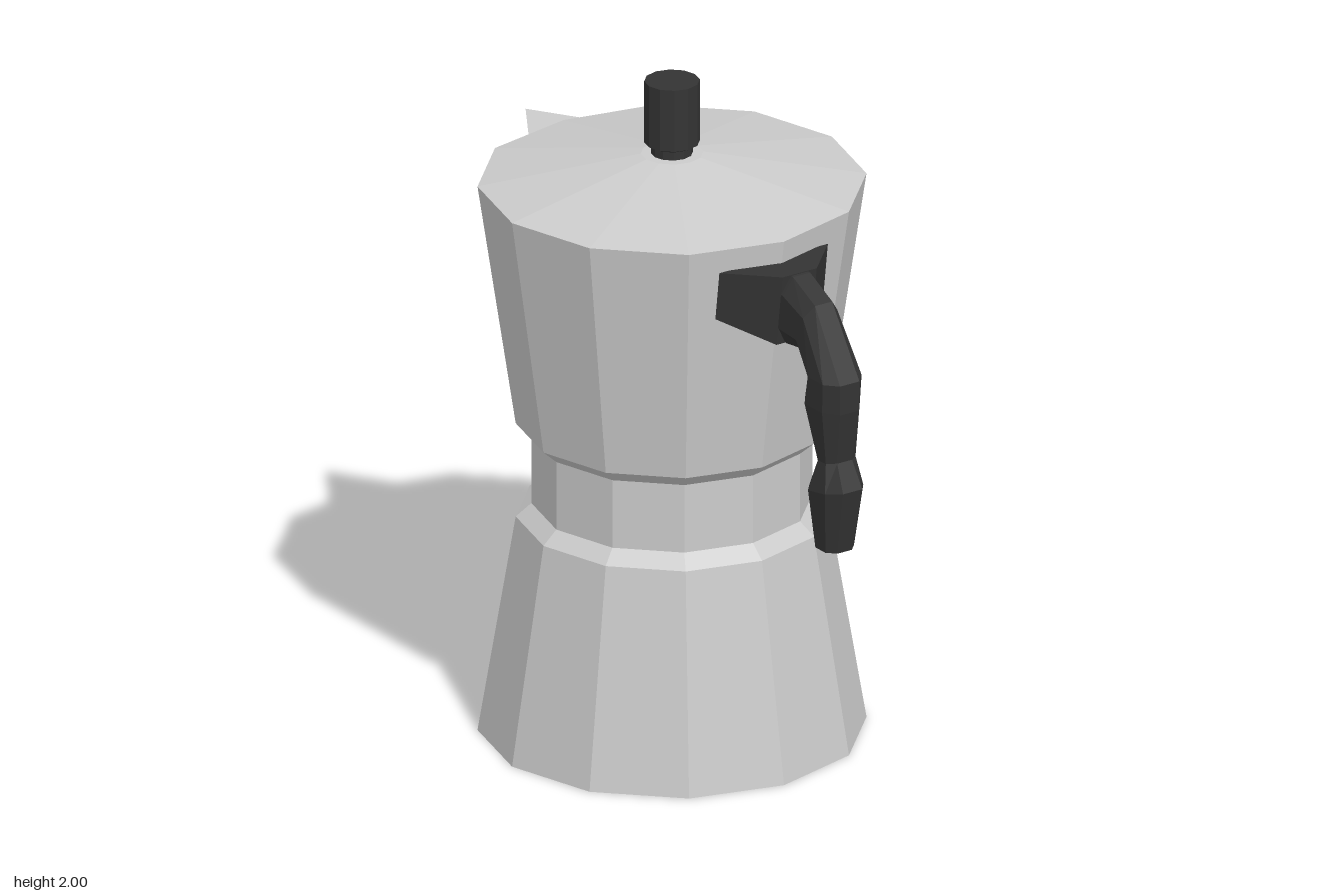
import * as THREE from 'three';
import { ConvexGeometry } from 'three/addons/geometries/ConvexGeometry.js';

const metal = new THREE.MeshStandardMaterial({ color: 0xcccccc, flatShading: true });
const dark = new THREE.MeshStandardMaterial({ color: 0x343434, flatShading: true });
const AXIS_X = -0.088; // centre line of the pot

function addMesh(group, name, geometry, material) {
  const mesh = new THREE.Mesh(geometry, material);
  mesh.name = name;
  group.add(mesh);
  return mesh;
}

// Twelve-sided turned part from [radius, y] pairs, listed bottom to top
function turned(profile) {
  const geo = new THREE.LatheGeometry(profile.map(([r, y]) => new THREE.Vector2(r, y)), 12);
  return geo.translate(AXIS_X, 0, 0);
}

// The vertex behind the spout sits slightly inwards at the rim
function easeRim(geo) {
  const p = geo.attributes.position;
  for (let i = 0; i < p.count; i++) {
    if (p.getY(i) > 1.6 && p.getX(i) < -0.6) p.setX(i, -0.63);
  }
  return geo;
}

function hull(points) {
  return new ConvexGeometry(points.map(([x, y, z]) => new THREE.Vector3(x, y, z)));
}

// Skin over chamfered octagonal sections: [outerX, outerY, innerX, innerY, halfWidth]
function loft(sections) {
  const ring = [[0, 0.5], [0.25, 1], [0.75, 1], [1, 0.5], [1, -0.5], [0.75, -1], [0.25, -1], [0, -0.5]];
  const n = ring.length, pos = [], index = [];
  for (const [ox, oy, ix, iy, w] of sections) {
    for (const [t, s] of ring) pos.push(ox + (ix - ox) * t, oy + (iy - oy) * t, s * w);
  }
  for (let j = 0; j < sections.length - 1; j++) {
    for (let k = 0; k < n; k++) {
      const a = j * n + k, b = j * n + (k + 1) % n;
      index.push(a, b, b + n, a, b + n, a + n);
    }
  }
  const last = (sections.length - 1) * n;
  for (let k = 1; k < n - 1; k++) {
    index.push(0, k + 1, k, last, last + k, last + k + 1);
  }
  const geo = new THREE.BufferGeometry();
  geo.setAttribute('position', new THREE.Float32BufferAttribute(pos, 3));
  geo.setIndex(index);
  const flat = geo.toNonIndexed();
  flat.computeVertexNormals();
  return flat;
}

export function createModel() {
  const pot = new THREE.Group();
  pot.name = 'stovetopCoffeePot';

  // Water chamber with its shoulder
  addMesh(pot, 'baseChamber', turned([[0, 0], [0.56, 0], [0.45, 0.66], [0.405, 0.7]]), metal);
  // Narrow waist
  addMesh(pot, 'waist', turned([[0.405, 0.7], [0.405, 0.91]]), metal);
  // Flared upper jug
  addMesh(pot, 'upperJug', easeRim(turned([[0.405, 0.91], [0.45, 0.95], [0.56, 1.69]])), metal);
  // Shallow conical lid
  addMesh(pot, 'lid', easeRim(turned([[0.56, 1.69], [0.09, 1.775], [0, 1.775]])), metal);
  // Lid knob on a short neck
  addMesh(pot, 'lidKnob',
    turned([[0.06, 1.77], [0.06, 1.8], [0.08, 1.81], [0.08, 2], [0, 2]]), dark);

  // Pouring spout
  const spout = [[-0.82, 1.66, 0]];
  for (const s of [-1, 1]) spout.push([-0.6, 1.66, s * 0.14], [-0.575, 1.28, s * 0.055]);
  addMesh(pot, 'spout', hull(spout), metal);

  // Handle bracket, tapering from the jug to the grip
  const handle = new THREE.Group();
  handle.name = 'handle';
  pot.add(handle);
  const bracket = [];
  for (const s of [-1, 1]) {
    bracket.push([0.42, 1.62, s * 0.19], [0.4, 1.47, s * 0.19],
      [0.55, 1.62, s * 0.06], [0.52, 1.4, s * 0.06]);
  }
  addMesh(handle, 'handleBracket', hull(bracket), dark);

  // Faceted grip
  addMesh(handle, 'handleGrip', loft([
    [0.5, 1.62, 0.48, 1.42, 0.06],
    [0.56, 1.617, 0.525, 1.4, 0.06],
    [0.67, 1.565, 0.6, 1.41, 0.06],
    [0.8, 1.36, 0.65, 1.36, 0.068],
    [0.8, 1.27, 0.625, 1.27, 0.066],
    [0.775, 1.11, 0.695, 1.105, 0.052],
    [0.815, 1.03, 0.645, 1.0, 0.067],
    [0.775, 0.83, 0.675, 0.83, 0.05],
  ]), dark);

  return pot;
}
